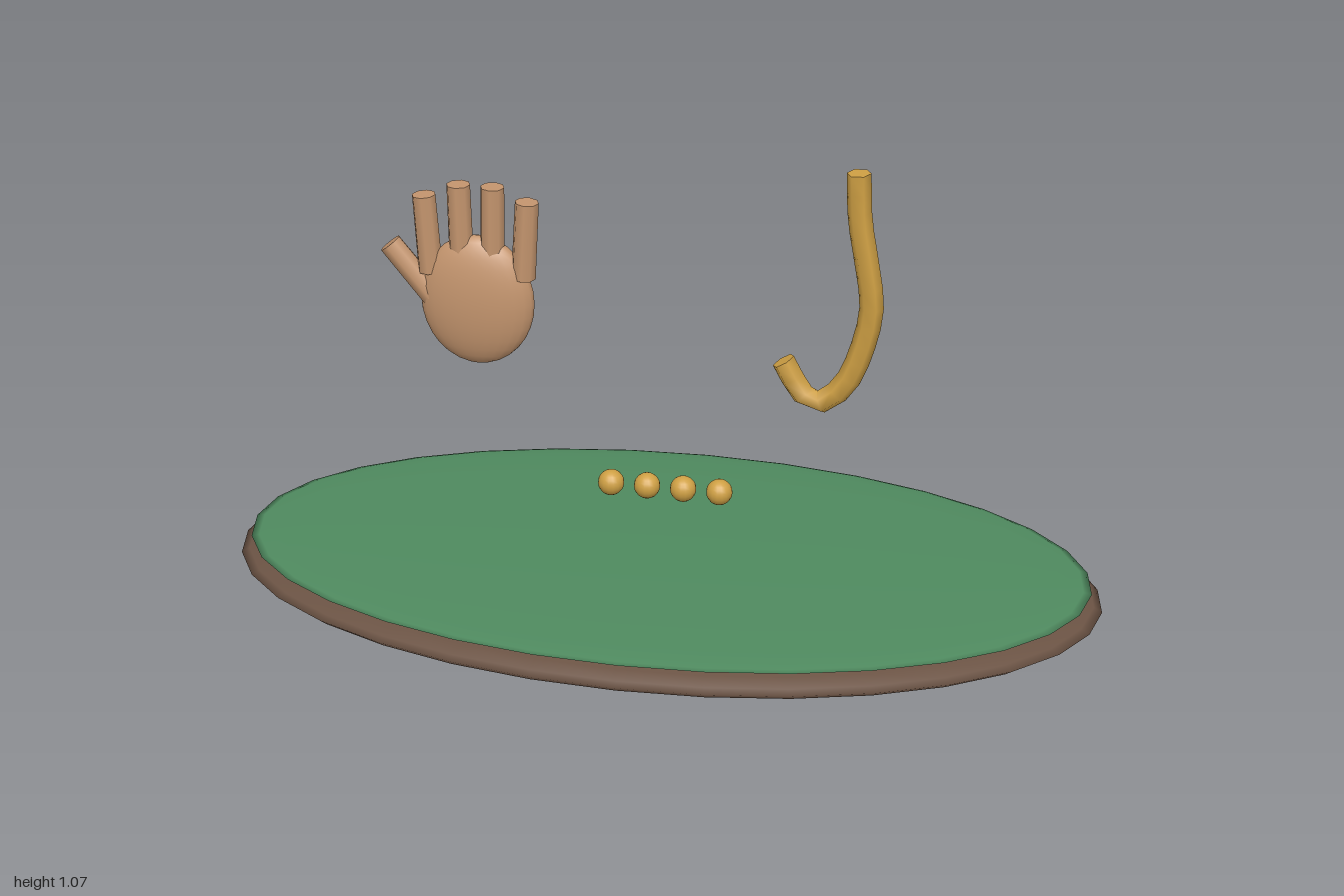
import * as THREE from 'three';
import { toCreasedNormals } from 'three/addons/utils/BufferGeometryUtils.js';

const paint = (color) => new THREE.MeshStandardMaterial({ color });

export function createModel() {
  const model = new THREE.Group();
  const wood = paint(0x6b5344);
  const felt = paint(0x4f8a5f);
  const skin = paint(0xc4956e);
  const brass = paint(0xcfa044);

  const add = (name, geometry, material, parent = model) => {
    const mesh = new THREE.Mesh(geometry, material);
    mesh.name = name;
    parent.add(mesh);
    return mesh;
  };

  // Sphere stretched to three radii
  const ellipsoid = (name, center, radii, material, parent, w = 32, h = 16) => {
    const geometry = new THREE.SphereGeometry(1, w, h).scale(...radii);
    add(name, geometry, material, parent).position.set(...center);
  };

  // Oval base with a thin green top
  ellipsoid('base', [0, 0.06, 0], [1, 0.06, 0.545], wood);
  ellipsoid('feltTop', [0, 0.103, 0], [0.975, 0.02, 0.522], felt);

  // Open hand: palm, four fingers and a thumb
  const hand = new THREE.Group();
  hand.name = 'hand';
  model.add(hand);
  ellipsoid('palm', [-0.428, 0.703, 0], [0.131, 0.155, 0.048], skin, hand, 24, 16);

  const digit = (name, x, y, tilt, length) => {
    const mesh = add(name, new THREE.CylinderGeometry(0.027, 0.028, length, 8), skin, hand);
    mesh.position.set(x, y, 0);
    mesh.rotation.z = tilt;
  };
  [
    [-0.54, 0.855, 0.06],
    [-0.464, 0.885, 0.02],
    [-0.39, 0.885, -0.02],
    [-0.316, 0.855, -0.06],
  ].forEach(([x, y, tilt], i) => digit(`finger${i + 1}`, x, y, tilt, 0.182));
  digit('thumb', -0.575, 0.758, 0.68, 0.165);

  // Row of four beads
  for (let i = 0; i < 4; i++) {
    ellipsoid(`bead${i + 1}`, [(i - 1.5) * 0.0835, 0.275, 0], [0.03, 0.03, 0.03], brass, model, 16, 12);
  }

  // Hook: six-sided rod swept along a curve, with closed ends
  const path = new THREE.CatmullRomCurve3([
    [0.425, 1.072], [0.43, 0.965], [0.447, 0.863], [0.46, 0.773], [0.455, 0.714],
    [0.417, 0.591], [0.382, 0.543], [0.345, 0.521], [0.313, 0.537], [0.267, 0.615],
  ].map(([x, y]) => new THREE.Vector3(x, y, 0)));
  const section = new THREE.Shape(Array.from({ length: 6 }, (_, i) => {
    const a = (i + 0.5) * Math.PI / 3;
    return new THREE.Vector2(0.027 * Math.cos(a), 0.027 * Math.sin(a));
  }));
  const rod = new THREE.ExtrudeGeometry(section, { steps: 16, extrudePath: path, bevelEnabled: false });
  add('hook', toCreasedNormals(rod, 1.25), brass);

  return model;
}
